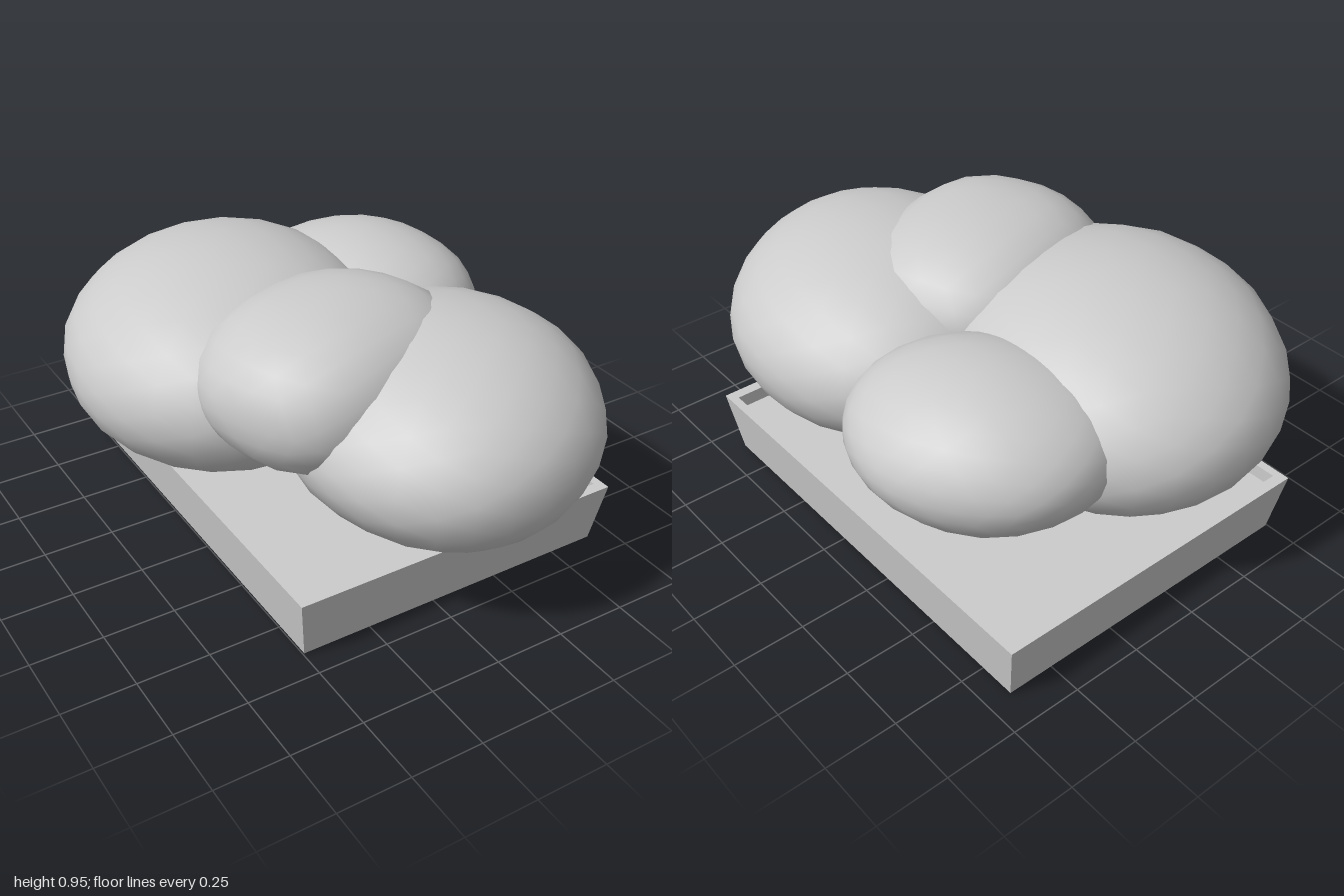
import * as THREE from 'three';
import { mergeVertices } from 'three/addons/utils/BufferGeometryUtils.js';

const material = new THREE.MeshStandardMaterial({ color: 0xcccccc });

// Smooth, slightly lumpy ellipsoid. power above 2 makes it boxier,
// turn is the rotation about the vertical axis.
function lump(name, { center, radii, turn, power = 2, seed, bump }) {
  let geo = new THREE.IcosahedronGeometry(1, 4);
  geo.deleteAttribute('uv');
  geo.deleteAttribute('normal');
  geo = mergeVertices(geo, 1e-4);
  const pos = geo.attributes.position;
  const v = new THREE.Vector3();
  for (let i = 0; i < pos.count; i++) {
    v.fromBufferAttribute(pos, i);
    const norm = v.toArray().reduce((sum, c) => sum + Math.abs(c) ** power, 0) ** (1 / power);
    const wave =
      Math.sin(v.x * 4.1 + seed) * Math.cos(v.z * 3.7 + seed * 1.7) +
      0.6 * Math.sin(v.y * 5.3 + v.x * 3.1 + seed * 2.3) * Math.cos(v.z * 6.1 - seed);
    v.multiplyScalar((1 + bump * wave) / norm);
    pos.setXYZ(i, v.x, v.y, v.z);
  }
  geo.scale(...radii);
  geo.rotateY(turn);
  geo.computeVertexNormals();
  const mesh = new THREE.Mesh(geo, material);
  mesh.name = name;
  mesh.position.set(...center);
  return mesh;
}

// Shallow rectangular tray with flared walls, a rim and a sunken floor
function tray() {
  const profile = [[0, 0], [0.95, 0], [1, 0.225], [0.95, 0.225], [0.95, 0.175], [0, 0.175]]
    .map(([r, y]) => new THREE.Vector2(r * Math.SQRT2, y));
  const geo = new THREE.LatheGeometry(profile, 4, Math.PI / 4).toNonIndexed();
  geo.scale(0.61, 1, 0.805);
  geo.computeVertexNormals();
  const mesh = new THREE.Mesh(geo, material);
  mesh.name = 'tray';
  mesh.position.set(0.085, 0, -0.115);
  return mesh;
}

export function createModel() {
  const group = new THREE.Group();
  group.name = 'trayOfLumps';
  group.add(
    tray(),
    lump('backLargeLump', {
      center: [-0.2, 0.565, -0.38], radii: [0.575, 0.365, 0.662], turn: -0.47, seed: 1.0, bump: 0.008,
    }),
    lump('backSmallLump', {
      center: [0.385, 0.585, -0.41], radii: [0.387, 0.257, 0.449], turn: 0.52, seed: 2.4, bump: 0.008,
    }),
    lump('frontLump', {
      center: [0.18, 0.545, 0.4], radii: [0.538, 0.345, 0.615], turn: -0.45, seed: 4.2, bump: 0.008,
    }),
    lump('topLump', {
      center: [-0.1, 0.685, 0.175], radii: [0.46, 0.265, 0.385], turn: 0.3, power: 2.35, seed: 0.6, bump: 0.016,
    }),
  );
  return group;
}
